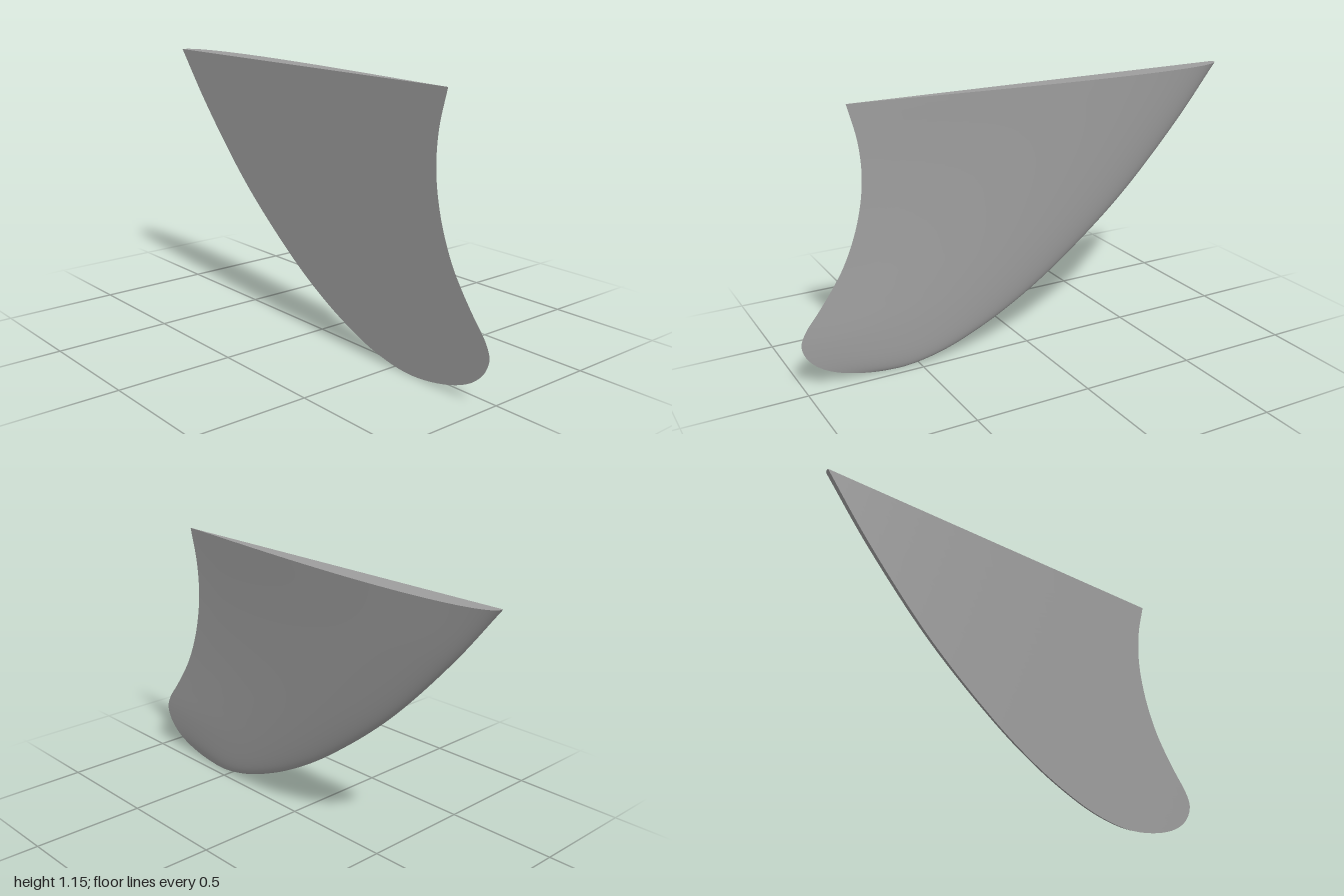
import * as THREE from 'three';

const HEIGHT = 1.15;
const FLAT_Z = 0.0475;

// Outline: down the leading edge to the lowest point, then up the trailing edge
const LEADING = [[-1, 1.15], [-0.8, 0.902], [-0.5, 0.587], [-0.2, 0.342], [0, 0.208], [0.2, 0.104], [0.4, 0.03], [0.6, 0]];
const TRAILING = [[0.8, 0.027], [0.92, 0.077], [0.98, 0.135], [1, 0.195], [0.98, 0.25], [0.917, 0.332], [0.855, 0.418],
  [0.8, 0.51], [0.742, 0.66], [0.711, 0.83], [0.718, 0.99], [0.757, 1.15]];
const outline = new THREE.CatmullRomCurve3([...LEADING, ...TRAILING].map(([x, y]) => new THREE.Vector3(x, y, 0)));
const BOTTOM_T = (LEADING.length - 1) / (LEADING.length + TRAILING.length - 1);

// x of one edge at height y, found by bisection from the bottom to that edge's top
function edgeX(y, topT) {
  let low = BOTTOM_T, high = topT;
  for (let k = 0; k < 40; k++) {
    const mid = (low + high) / 2;
    if (outline.getPoint(mid).y < y) low = mid; else high = mid;
  }
  return outline.getPoint(low).x;
}

// Greatest thickness at height y, rounding off at the bottom
const thickness = (y) => (0.026 + 0.06 * y) * Math.sqrt(1 - Math.exp(-y / 0.04));

// Foil section along the chord: blunt nose, thin tail
const foil = (u) => (u ** 0.4 * (1 - u) ** 1.15) / (0.25806 ** 0.4 * 0.74194 ** 1.15);

// Grid surface from a rule point(row, column), both running 0..1
function gridMesh(name, rows, cols, point, flip, material) {
  const positions = [], index = [];
  for (let i = 0; i <= rows; i++) {
    for (let j = 0; j <= cols; j++) positions.push(...point(i / rows, j / cols));
  }
  for (let i = 0; i < rows; i++) {
    for (let j = 0; j < cols; j++) {
      const a = i * (cols + 1) + j, b = a + 1, c = a + cols + 1, d = c + 1;
      if (flip) index.push(a, d, b, a, c, d);
      else index.push(a, b, d, a, d, c);
    }
  }
  const geometry = new THREE.BufferGeometry();
  geometry.setAttribute('position', new THREE.Float32BufferAttribute(positions, 3));
  geometry.setIndex(index);
  geometry.computeVertexNormals();
  const mesh = new THREE.Mesh(geometry, material);
  mesh.name = name;
  return mesh;
}

export function createModel() {
  const group = new THREE.Group();
  group.name = 'fin';
  const material = new THREE.MeshStandardMaterial({ color: 0x9d9d9d, side: THREE.DoubleSide });

  // Horizontal sections, closer together towards the bottom
  const ROWS = 90, COLS = 40;
  const sections = [];
  for (let i = 0; i <= ROWS; i++) {
    const y = HEIGHT * Math.max(i / ROWS, 0.005) ** 2;
    sections.push({ y, left: edgeX(y, 0), right: edgeX(y, 1), depth: thickness(y) });
  }

  // bulge 0 lies on the flat side, bulge 1 on the curved side
  const finPoint = (section, v, bulge) => {
    const u = v ** 2.5;
    const x = section.left + (section.right - section.left) * u;
    return [x, section.y, FLAT_Z - bulge * section.depth * foil(u)];
  };
  const sectionAt = (s) => sections[Math.round(s * ROWS)];

  group.add(
    gridMesh('flatSide', ROWS, COLS, (s, v) => finPoint(sectionAt(s), v, 0), false, material),
    gridMesh('foiledSide', ROWS, COLS, (s, v) => finPoint(sectionAt(s), v, 1), true, material),
    gridMesh('baseCap', 1, COLS, (s, v) => finPoint(sections[ROWS], v, s), false, material),
  );
  return group;
}
